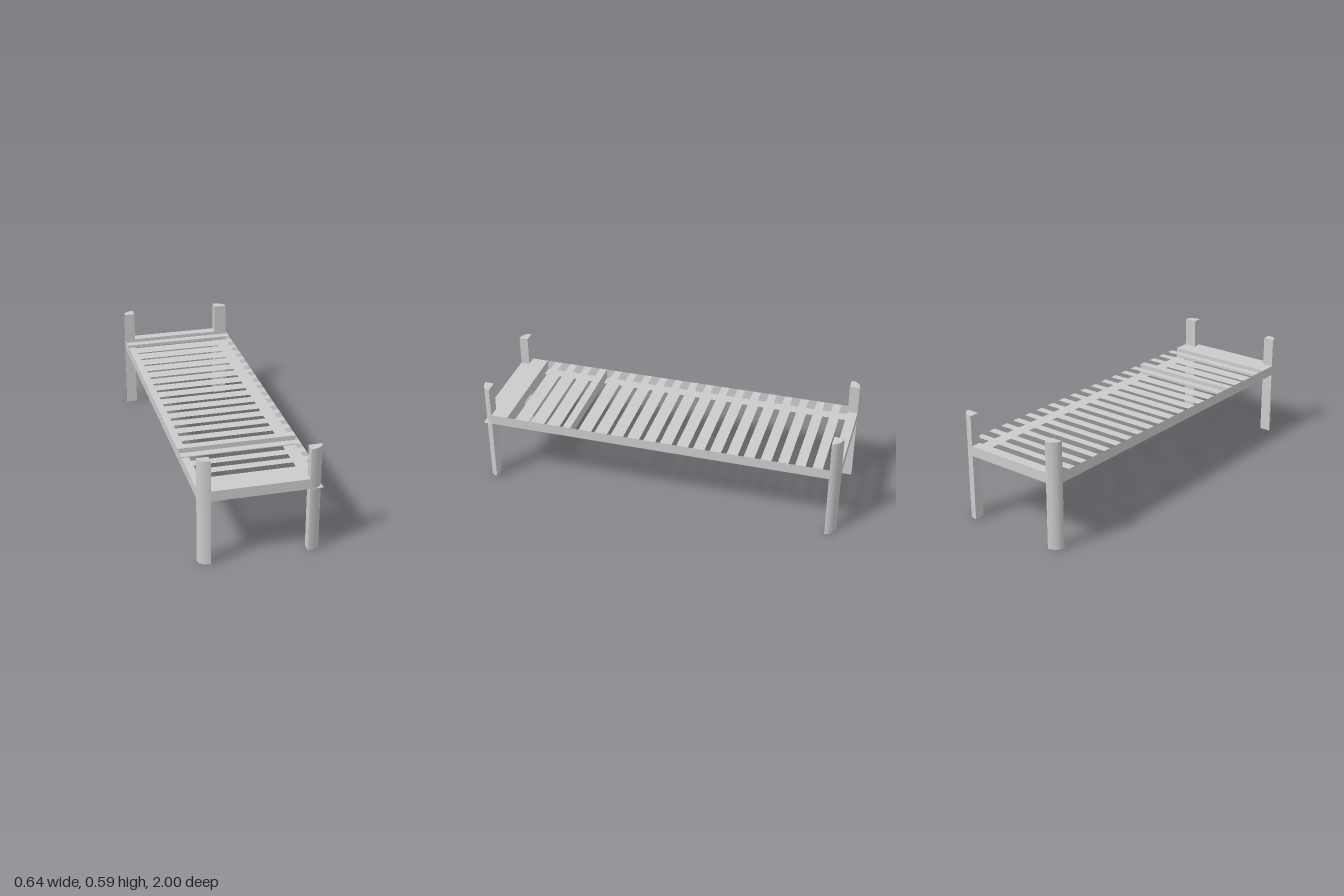
import * as THREE from 'three';
import { toCreasedNormals } from 'three/addons/utils/BufferGeometryUtils.js';

const solid = new THREE.MeshStandardMaterial({ color: 0xcccccc });
const sheet = new THREE.MeshStandardMaterial({ color: 0xcccccc, side: THREE.DoubleSide });

// Main dimensions
const X = 0.32, Z = 1;                    // outer half sizes
const LEFT = 0.25, RIGHT = -0.258;        // inner edges of the side rails
const FRONT = 0.95, BACK = -0.945;        // inner faces of the posts
const BOARD = 0.857;                      // inner edge of the wide front board
const Y0 = 0.366, Y1 = 0.422;             // frame underside and top
const POST_TOP = 0.589;
const SLATS = 19, FIRST = -0.877, PITCH = 0.0924, HALF = 0.022;
const slatZ = (i) => FIRST + i * PITCH;

// Quarter-ellipse corner points from the side face to the end face
function corner(sx, sz) {
  const cx = sx > 0 ? LEFT : RIGHT, cz = sz > 0 ? FRONT : BACK;
  const points = [];
  for (let i = 0; i <= 16; i++) {
    const a = (i / 16) * Math.PI / 2;
    points.push([cx + (sx * X - cx) * Math.cos(a), cz + (sz * Z - cz) * Math.sin(a)]);
  }
  return points;
}

// Rectangle in plan
const rect = (x0, x1, z0, z1) => [[x0, z0], [x1, z0], [x1, z1], [x0, z1]];

export function createModel() {
  const model = new THREE.Group();
  const frame = new THREE.Group();
  frame.name = 'bedFrame';
  model.add(frame);

  const add = (parent, name, geometry, material) => {
    const mesh = new THREE.Mesh(geometry, material);
    mesh.name = name;
    parent.add(mesh);
    return mesh;
  };

  // Horizontal sheet from a plan outline, facing up or down
  const flat = (name, y, up, outline, holes = [], material = sheet) => {
    const at = ([x, z]) => new THREE.Vector2(x, up ? -z : z);
    const shape = new THREE.Shape(outline.map(at));
    shape.holes = holes.map((hole) => new THREE.Path(hole.map(at)));
    const geometry = new THREE.ShapeGeometry(shape);
    geometry.rotateX(up ? -Math.PI / 2 : Math.PI / 2);
    add(frame, name, geometry, material).position.y = y;
  };

  // Upright face of the frame, turned by angle about y
  const wall = (name, x, z, width, angle) => {
    const mesh = add(frame, name, new THREE.PlaneGeometry(width, Y1 - Y0), sheet);
    mesh.position.set(x, (Y0 + Y1) / 2, z);
    mesh.rotation.y = angle;
  };

  // Top: end boards and slats that reach across the side rails
  flat('frontBoardTop', Y1, true,
    [[-X, BOARD], [X, BOARD], ...corner(1, 1), ...corner(-1, 1).reverse()]);
  flat('backBoardTop', Y1, true, [...corner(-1, -1), ...corner(1, -1).reverse()]);
  for (let i = 0; i < SLATS; i++) {
    flat('slatTop', Y1, true, rect(-X, X, slatZ(i) - HALF, slatZ(i) + HALF));
  }

  // Underside: slotted sheet whose edges form the sunken ledges of the side rails
  const slots = [];
  for (let i = 0; i <= SLATS; i++) {
    const z0 = i === 0 ? BACK : slatZ(i - 1) + HALF;
    const z1 = i === SLATS ? BOARD : slatZ(i) - HALF;
    // the rearmost slot runs out over the left rail
    slots.push(rect(RIGHT, i === 0 ? X - 0.001 : LEFT, z0, z1));
  }
  flat('railLedgesAndUnderside', Y0, false,
    [[X, Z], ...corner(-1, 1).reverse(), ...corner(-1, -1), ...corner(1, -1).reverse()], slots);
  // Cover under the front slot, showing only from below
  flat('frontSlotCover', Y0, false, slots[SLATS], [], solid);

  // Side rails and end boards
  const length = FRONT - BACK, midZ = (FRONT + BACK) / 2;
  const width = LEFT - RIGHT, midX = (LEFT + RIGHT) / 2;
  wall('leftRail', X, midZ, length, Math.PI / 2);
  wall('rightRail', -X, midZ, length, -Math.PI / 2);
  wall('frontBoardOuter', midX, Z, width, 0);
  wall('backBoardOuter', midX, -Z, width, Math.PI);
  wall('frontBoardInner', 0, BOARD, 2 * X, Math.PI);
  wall('backBoardInner', midX, BACK, width, 0);

  // Sides of the deep cross bar
  wall('crossBarFront', 0, slatZ(15) + HALF, 2 * X, 0);
  wall('crossBarBack', 0, slatZ(15) - HALF, 2 * X, Math.PI);

  // Corner posts: quarter-round section, flat on the two inner sides
  const post = (name, sx, sz, bottom) => {
    const inner = [sx > 0 ? LEFT : RIGHT, sz > 0 ? FRONT : BACK];
    const section = new THREE.Shape(
      [inner, ...corner(sx, sz)].map(([x, z]) => new THREE.Vector2(x, -z)));
    const geometry = new THREE.ExtrudeGeometry(section, { depth: POST_TOP - bottom, bevelEnabled: false });
    geometry.rotateX(-Math.PI / 2);
    add(model, name, toCreasedNormals(geometry, 0.6), solid).position.y = bottom;
  };
  post('frontLeftPost', 1, 1, 0.008);
  post('frontRightPost', -1, 1, 0.003);
  post('backLeftPost', 1, -1, 0);
  post('backRightPost', -1, -1, 0);
  return model;
}
